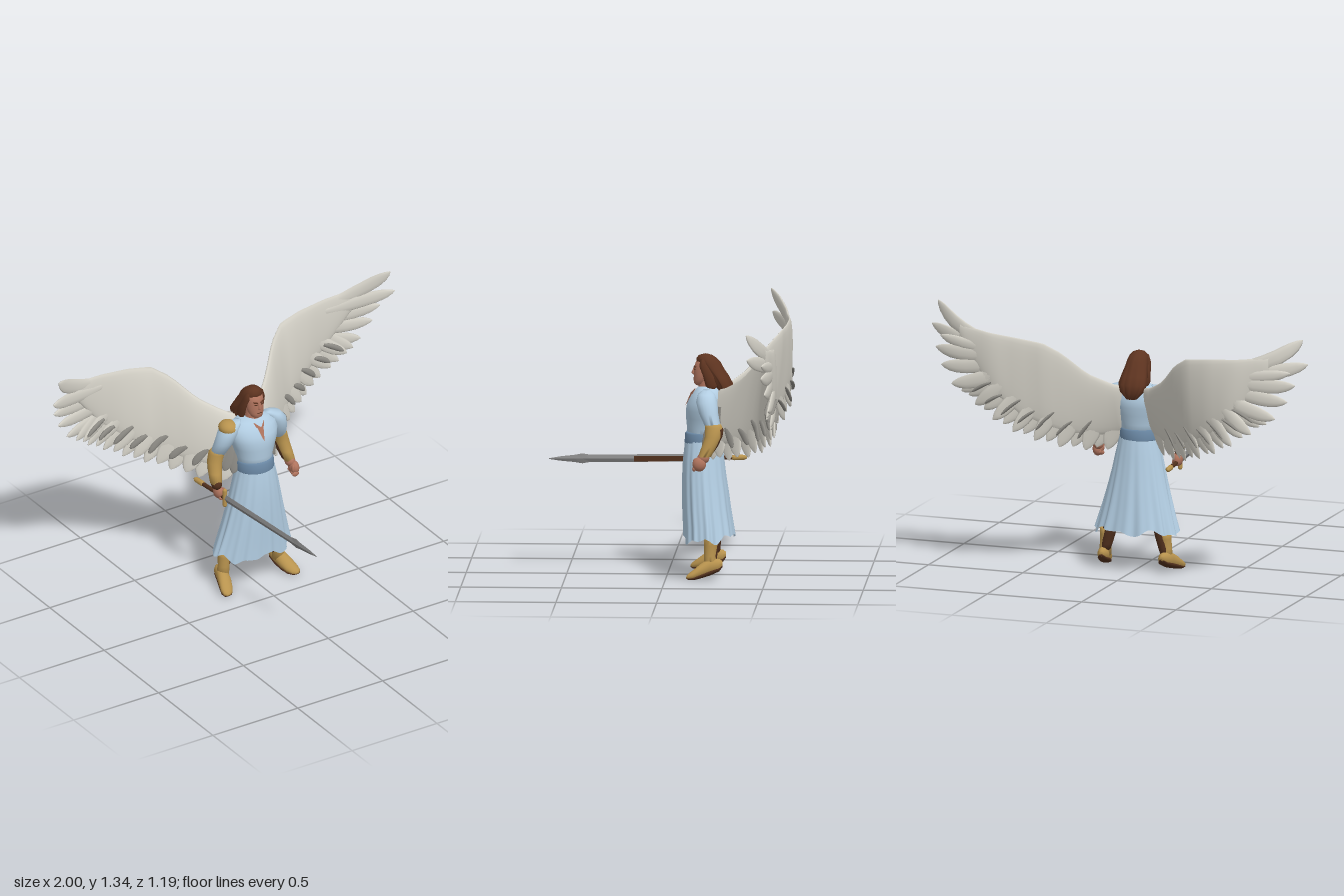
import * as THREE from 'three';

const V = (x, y, z) => new THREE.Vector3(x, y, z);
const mat = (name, color, double) => {
  const m = new THREE.MeshStandardMaterial({ color });
  m.name = name;
  if (double) m.side = THREE.DoubleSide;
  return m;
};
const M = {
  robe: mat('pale blue cloth', 0xb2cde2, true), belt: mat('slate blue sash', 0x6d8ba8),
  wing: mat('feather white', 0xd6d3c9), shade: mat('feather grey', 0x8c8a84), skin: mat('skin', 0xb0745e, true),
  hair: mat('auburn hair', 0x5e3420), gold: mat('gold', 0xb8934e),
  leather: mat('dark leather', 0x51301d), steel: mat('steel', 0x858585),
};

// Rings: centre plus two half axes
const ring = (c, u, v) => ({ c, u, v });
const ringY = (x, y, z, rx, rz = rx) => ring(V(x, y, z), V(rx, 0, 0), V(0, 0, rz));
const ringZ = (x, y, z, rx, ry = rx) => ring(V(x, y, z), V(rx, 0, 0), V(0, ry, 0));
const ringX = (x, y, z, ry, rz) => ring(V(x, y, z), V(0, ry, 0), V(0, 0, rz));

// Skin a row of rings; warp moves each point, and faces are turned outward by signed volume
function loft(rings, n = 20, { warp, open = false, flat = false } = {}) {
  const pts = [], idx = [];
  rings.forEach((r, i) => {
    for (let j = 0; j < n; j++) {
      const a = (j / n) * Math.PI * 2;
      const p = r.c.clone().addScaledVector(r.u, Math.cos(a)).addScaledVector(r.v, Math.sin(a));
      pts.push(warp ? warp(p, a, i / (rings.length - 1)) : p);
      if (i) {
        const k = (j + 1) % n, A = (i - 1) * n, B = i * n;
        idx.push(A + j, B + j, B + k, A + j, B + k, A + k);
      }
    }
  });
  if (!open) {
    const L = (rings.length - 1) * n;
    for (let j = 1; j < n - 1; j++) idx.push(0, j, j + 1, L, L + j + 1, L + j);
  }
  let vol = 0;
  for (let i = 0; i < idx.length; i += 3) vol += pts[idx[i]].dot(pts[idx[i + 1]].clone().cross(pts[idx[i + 2]]));
  if (vol < 0) idx.reverse();
  let g = new THREE.BufferGeometry().setFromPoints(pts);
  g.setIndex(idx);
  if (flat) g = g.toNonIndexed();
  g.computeVertexNormals();
  return g;
}

function add(parent, name, geo, material, pos, scale) {
  const m = new THREE.Mesh(geo, material);
  m.name = name;
  if (pos) m.position.set(...pos);
  if (scale) m.scale.set(...scale);
  parent.add(m);
  return m;
}
const ball = new THREE.SphereGeometry(1, 20, 14);
const table = (rows, x, k) => {
  let i = 1;
  while (i < rows.length - 1 && rows[i][0] < x) i++;
  const a = rows[i - 1], b = rows[i], t = THREE.MathUtils.clamp((x - a[0]) / (b[0] - a[0]), 0, 1);
  return a[k] + (b[k] - a[k]) * t;
};

// Wing plan: x, top edge, covert bottom, depth
const PLAN = [
  [0.05, 0.94, 0.72, -0.27], [0.1, 0.95, 0.68, -0.3], [0.2, 1.015, 0.68, -0.39], [0.3, 1.13, 0.71, -0.485],
  [0.38, 1.185, 0.75, -0.535], [0.5, 1.205, 0.81, -0.555], [0.65, 1.222, 0.94, -0.56],
  [0.8, 1.245, 1.13, -0.535], [0.88, 1.255, 1.21, -0.51], [1, 1.3, 1.25, -0.455],
];

function makeWing(side) {
  const wing = new THREE.Group();
  wing.name = side > 0 ? 'leftWing' : 'rightWing';
  const warp = (p) => {
    const lean = 0.4 * Math.max(0, 1 - p.x / 0.6) * Math.max(0, table(PLAN, p.x, 1) - p.y);
    const z = p.z + table(PLAN, p.x, 3) + lean - (side < 0 ? 0.02 * p.x : 0);
    return V(p.x * side, p.y - (side < 0 ? 0.045 * p.x : 0), z);
  };
  // Fleshy arm and coverts
  const body = [];
  for (let i = 0; i <= 24; i++) {
    const x = 0.06 + 0.76 * (i / 24), t = table(PLAN, x, 1), b = table(PLAN, x, 2);
    body.push(ringX(x, (t + b) / 2, 0, (t - b) / 2, 0.03 - 0.018 * (i / 24)));
  }
  add(wing, 'coverts', loft(body, 24, { warp }), M.wing);

  // One feather along a bent path in the wing plane; bend moves its tip in depth
  const feather = (name, root, tip, width, z, { sag = 0.02, bend = 0, material = M.wing } = {}) => {
    const a = V(...root, 0), b = V(...tip, 0), d = b.clone().sub(a).normalize();
    const mid = a.clone().lerp(b, 0.5).add(V(d.y, -d.x, 0).multiplyScalar(sag));
    const path = new THREE.QuadraticBezierCurve3(a, mid, b);
    const prof = [[0, 0.5], [0.2, 0.85], [0.4, 1], [0.6, 1], [0.75, 0.92], [0.87, 0.7], [0.95, 0.4], [1, 0.06]];
    const rings = prof.map(([t, w]) => {
      const g = path.getTangent(t), c = path.getPoint(t);
      c.z = z + bend * t * t;
      return ring(c, V(-g.y, g.x, 0).multiplyScalar(width * w), V(0, 0, 0.01 * Math.sqrt(w)));
    });
    add(wing, name, loft(rings, 10, { warp }), material);
  };
  // Primaries fanned at the tip: tip x, tip y, bend
  const tips = [[0.86, 0.945, -0.03], [0.92, 1.035, -0.045], [0.955, 1.12, -0.04], [1, 1.22, 0], [0.97, 1.34, 0.025]];
  tips.forEach(([x, y, bend], i) => feather('primaryFeather', [0.55 + 0.03 * i, 1.05 + 0.035 * i], [x, y], 0.037, 0.006 * (i % 2), { sag: i === 4 ? 0.06 : 0.03, bend }));
  feather('primaryFeather', [0.6, 1.14], [0.93, 1.18], 0.03, 0, { bend: -0.03 });
  // Secondaries along the trailing edge
  const edge = new THREE.CatmullRomCurve3([[0.15, 0.6], [0.25, 0.61], [0.37, 0.65], [0.49, 0.7], [0.6, 0.76], [0.72, 0.84], [0.81, 0.91]].map((p) => V(...p, 0)));
  const n = 15;
  for (let i = 0; i < n; i++) {
    const t = i / (n - 1), e = edge.getPoint(t);
    feather('secondaryFeather', [0.09 + 0.5 * t, 0.87 + 0.2 * t], [e.x, e.y + 0.012 * (i % 2)], 0.036, 0.005 * (i % 2 ? 1 : -1));
  }
  // Slanting grey gaps between feathers on both faces, and grey down beside the body
  for (const f of [1, -1]) for (let i = 0; i < 7; i++) {
    const t = 0.16 + 0.125 * i, e = edge.getPoint(t), r = V(0.1 + 0.52 * t, 0.9 + 0.19 * t, 0);
    const a = r.clone().lerp(e, 0.5 + 0.08 * (i % 2)), b = r.clone().lerp(e, 0.8);
    feather('featherGap', [a.x - 0.025, a.y], [b.x + 0.025, b.y], f > 0 ? 0.015 : 0.008, f * 0.016, { sag: -0.01, material: M.shade });
  }
  for (let i = 0; i < 3; i++) feather('innerDown', [0.08 + 0.025 * i, 0.86], [0.12 + 0.03 * i, 0.65 + 0.01 * i], 0.026, 0.026, { material: M.shade });
  return wing;
}

function makeArm(side) {
  const arm = new THREE.Group();
  arm.name = side > 0 ? 'leftArm' : 'rightArm';
  const X = (rows) => rows.map(([x, ...r]) => ringY(x * side, ...r));
  add(arm, 'sleeve', loft(X([[0.09, 0.938, -0.2, 0.02], [0.118, 0.922, -0.2, 0.042], [0.14, 0.885, -0.203, 0.053],
    [0.157, 0.83, -0.213, 0.048], [0.178, 0.76, -0.238, 0.038]])), M.robe);
  add(arm, 'bracer', loft(X([[0.176, 0.78, -0.234, 0.036, 0.04], [0.184, 0.765, -0.24, 0.039, 0.044], [0.197, 0.72, -0.238, 0.037, 0.041],
    [0.208, 0.67, -0.218, 0.033, 0.037], [0.216, 0.622, -0.196, 0.029, 0.032]])), M.gold);
  // Leather lacing along the inner back of the forearm
  add(arm, 'elbowLeather', loft(X([[0.176, 0.775, -0.255, 0.02], [0.182, 0.755, -0.256, 0.034], [0.189, 0.72, -0.25, 0.034],
    [0.198, 0.67, -0.23, 0.028, 0.03], [0.206, 0.63, -0.208, 0.024]])), M.leather);
  const h = side > 0 ? [0.226, 0.585, -0.17] : [-0.205, 0.57, -0.19];
  add(arm, 'wrist', ball, side > 0 ? M.skin : M.leather, [side * 0.216, 0.615, -0.19], [0.026, 0.028, 0.03]);
  add(arm, 'hand', ball, M.skin, h, [0.025, 0.036, 0.034]);
  for (let i = 0; i < 4; i++) add(arm, 'finger', ball, M.skin, [h[0] - side * 0.006, h[1] - 0.024 + i * 0.004, h[2] + 0.026 - i * 0.014], [0.019, 0.014, 0.009]);
  add(arm, 'thumb', ball, M.skin, [h[0] - side * 0.018, h[1] + 0.006, h[2] + 0.022], [0.009, 0.021, 0.011]);
  return arm;
}

function makeLeg(side) {
  const leg = new THREE.Group();
  leg.name = side > 0 ? 'leftLeg' : 'rightLeg';
  const X = (f, rows) => rows.map(([x, ...r]) => f(x * side + 0.005, ...r));
  add(leg, 'trouser', loft(X(ringY, [[0.09, 0.4, -0.2, 0.04], [0.112, 0.3, -0.215, 0.036], [0.132, 0.22, -0.226, 0.037],
    [0.141, 0.17, -0.228, 0.033], [0.151, 0.12, -0.228, 0.028], [0.158, 0.09, -0.23, 0.024]])), M.leather);
  add(leg, 'bootShaft', loft(X(ringY, [[0.156, 0.2, -0.225, 0.032, 0.035], [0.156, 0.17, -0.224, 0.031, 0.033], [0.16, 0.12, -0.22, 0.029, 0.03], [0.164, 0.06, -0.224, 0.032]])), M.gold);
  const foot = [[0.16, 0.078, -0.283, 0.012, 0.014], [0.161, 0.073, -0.267, 0.026, 0.03], [0.168, 0.065, -0.22, 0.033, 0.042],
    [0.18, 0.045, -0.175, 0.036, 0.035], [0.192, 0.027, -0.14, 0.034, 0.025], [0.2, 0.018, -0.115, 0.024, 0.015], [0.202, 0.015, -0.105, 0.008, 0.006]];
  add(leg, 'bootFoot', loft(X(ringZ, foot)), M.gold);
  add(leg, 'bootSole', loft(X(ringZ, foot.map(([x, y, z, rx, ry]) => [x, y - 0.64 * ry, z, rx * 0.95, ry * 0.43]))), M.leather);
  return leg;
}

function makeHead() {
  const head = new THREE.Group();
  head.name = 'head';
  add(head, 'neck', new THREE.CylinderGeometry(0.036, 0.046, 0.09, 20), M.skin, [0, 0.945, -0.195]);
  add(head, 'face', loft([ringY(0, 0.95, -0.16, 0.016), ringY(0, 0.96, -0.16, 0.029, 0.028), ringY(0, 0.98, -0.168, 0.04, 0.038), ringY(0, 1.005, -0.178, 0.045, 0.046),
    ringY(0, 1.04, -0.186, 0.047, 0.053), ringY(0, 1.07, -0.192, 0.044, 0.05), ringY(0, 1.09, -0.195, 0.025)]), M.skin);
  add(head, 'nose', loft([ringY(0, 1.038, -0.134, 0.004), ringY(0, 1.012, -0.129, 0.008, 0.01), ringY(0, 1.004, -0.133, 0.007)], 8), M.skin);
  add(head, 'mouth', new THREE.BoxGeometry(0.024, 0.003, 0.006), M.leather, [0, 0.985, -0.132]);
  for (const s of [1, -1]) {
    add(head, 'brow', new THREE.BoxGeometry(0.022, 0.005, 0.008), M.hair, [s * 0.018, 1.043, -0.138]).rotation.set(0, s * 0.35, s * 0.2);
    add(head, 'eye', new THREE.BoxGeometry(0.014, 0.005, 0.006), M.leather, [s * 0.018, 1.031, -0.138]).rotation.y = s * 0.35;
    add(head, 'sideLock', loft([ringY(s * 0.035, 1.085, -0.178, 0.012), ringY(s * 0.046, 1.05, -0.185, 0.012, 0.024), ringY(s * 0.052, 1, -0.208, 0.013, 0.028),
      ringY(s * 0.053, 0.955, -0.222, 0.015, 0.03), ringY(s * 0.05, 0.925, -0.222, 0.006)], 12), M.hair);
  }
  // Long hair swept backward with soft strands
  const strands = (p, a, t) => V(p.x * (1 + 0.05 * t * Math.cos(9 * a)), p.y, p.z + 0.004 * t * Math.cos(11 * a));
  add(head, 'hair', loft([ringY(0, 1.108, -0.19, 0.008), ringY(0, 1.1, -0.19, 0.03, 0.033), ringY(0, 1.085, -0.194, 0.045, 0.051), ringY(0, 1.062, -0.207, 0.053, 0.06),
    ringY(0, 1.03, -0.229, 0.058, 0.054), ringY(0, 0.995, -0.256, 0.066, 0.05), ringY(0, 0.955, -0.28, 0.074, 0.046),
    ringY(0.002, 0.915, -0.29, 0.06, 0.036), ringY(0.003, 0.88, -0.288, 0.028, 0.02)], 36, { warp: strands }), M.hair);
  return head;
}

function makeSword() {
  const sword = new THREE.Group();
  sword.name = 'sword';
  const ax = (z) => -0.13 - 0.095 * (0.59 - z), y = 0.556;
  const along = (rows) => rows.map(([z, rx, ry]) => ringZ(ax(z), y, z, rx, ry));
  add(sword, 'blade', loft(along([[-0.14, 0.008, 0.02], [0.39, 0.008, 0.018], [0.43, 0.008, 0.025], [0.47, 0.007, 0.018], [0.54, 0.005, 0.011], [0.595, 0.001, 0.002]]), 4, { flat: true }), M.steel);
  // Dark inner face near the hilt
  add(sword, 'bladeInlay', new THREE.BoxGeometry(0.004, 0.026, 0.28), M.leather, [ax(0.035) + 0.006, y - 0.003, 0.035]).rotation.y = 0.095;
  add(sword, 'guard', new THREE.CapsuleGeometry(0.011, 0.08, 6, 12), M.gold, [ax(-0.14), y, -0.14]);
  add(sword, 'grip', loft(along([[-0.14, 0.01, 0.01], [-0.33, 0.011, 0.011]]), 14), M.leather);
  add(sword, 'pommel', loft(along([[-0.31, 0.011, 0.011], [-0.32, 0.014, 0.014], [-0.37, 0.013, 0.013], [-0.383, 0.005, 0.005]]), 14), M.gold);
  return sword;
}

export function createModel() {
  const model = new THREE.Group();
  model.name = 'wingedGuardian';
  // Tunic with a broad chest
  add(model, 'tunic', loft([ringY(0, 0.67, -0.18, 0.088, 0.08), ringY(0, 0.74, -0.183, 0.096, 0.086), ringY(0, 0.79, -0.186, 0.112, 0.094), ringY(0, 0.83, -0.19, 0.126, 0.098),
    ringY(0, 0.865, -0.195, 0.132, 0.096), ringY(0, 0.905, -0.2, 0.126, 0.08), ringY(0, 0.93, -0.203, 0.092, 0.061), ringY(0, 0.947, -0.204, 0.05, 0.045)], 32), M.robe);
  const neckline = new THREE.BufferGeometry().setFromPoints([V(-0.032, 0.935, -0.141), V(0, 0.845, -0.088), V(0, 0.91, -0.115), V(0.032, 0.935, -0.141)]);
  neckline.setIndex([0, 1, 2, 2, 1, 3]);
  neckline.computeVertexNormals();
  add(model, 'openNeckline', neckline, M.skin);
  add(model, 'sash', loft([ringY(0, 0.658, -0.18, 0.095, 0.088), ringY(0, 0.665, -0.18, 0.101, 0.095), ringY(0, 0.71, -0.18, 0.098, 0.092), ringY(0, 0.72, -0.18, 0.09, 0.084)], 32), M.belt);

  // Pleated skirt with an uneven hem
  const hem = [[0.7, -0.18, 0.09, 0.085], [0.66, -0.18, 0.1, 0.093], [0.58, -0.181, 0.119, 0.102], [0.5, -0.184, 0.136, 0.108], [0.42, -0.19, 0.154, 0.114],
    [0.34, -0.196, 0.174, 0.118], [0.26, -0.204, 0.195, 0.122], [0.195, -0.209, 0.213, 0.126]];
  const pleat = (p, a, t) => {
    const k = 1 + t * (0.03 * Math.cos(13 * a) + 0.022 * Math.cos(21 * a + 1));
    return V(p.x * k, p.y + t ** 4 * (0.012 * Math.sin(5 * a) + 0.01 * Math.cos(9 * a) - 0.012 * Math.sin(a)), -0.2 + (p.z + 0.2) * k);
  };
  add(model, 'skirt', loft(hem.map(([y, z, rx, rz]) => ringY(0.004, y, z, rx, rz)), 120, { warp: pleat, open: true }), M.robe);

  for (const s of [1, -1]) model.add(makeArm(s), makeLeg(s), makeWing(s));
  // Single shoulder guard on the sword side
  add(model, 'shoulderGuard', ball, M.gold, [-0.136, 0.908, -0.208], [0.048, 0.037, 0.054]);
  model.add(makeHead(), makeSword());
  return model;
}
